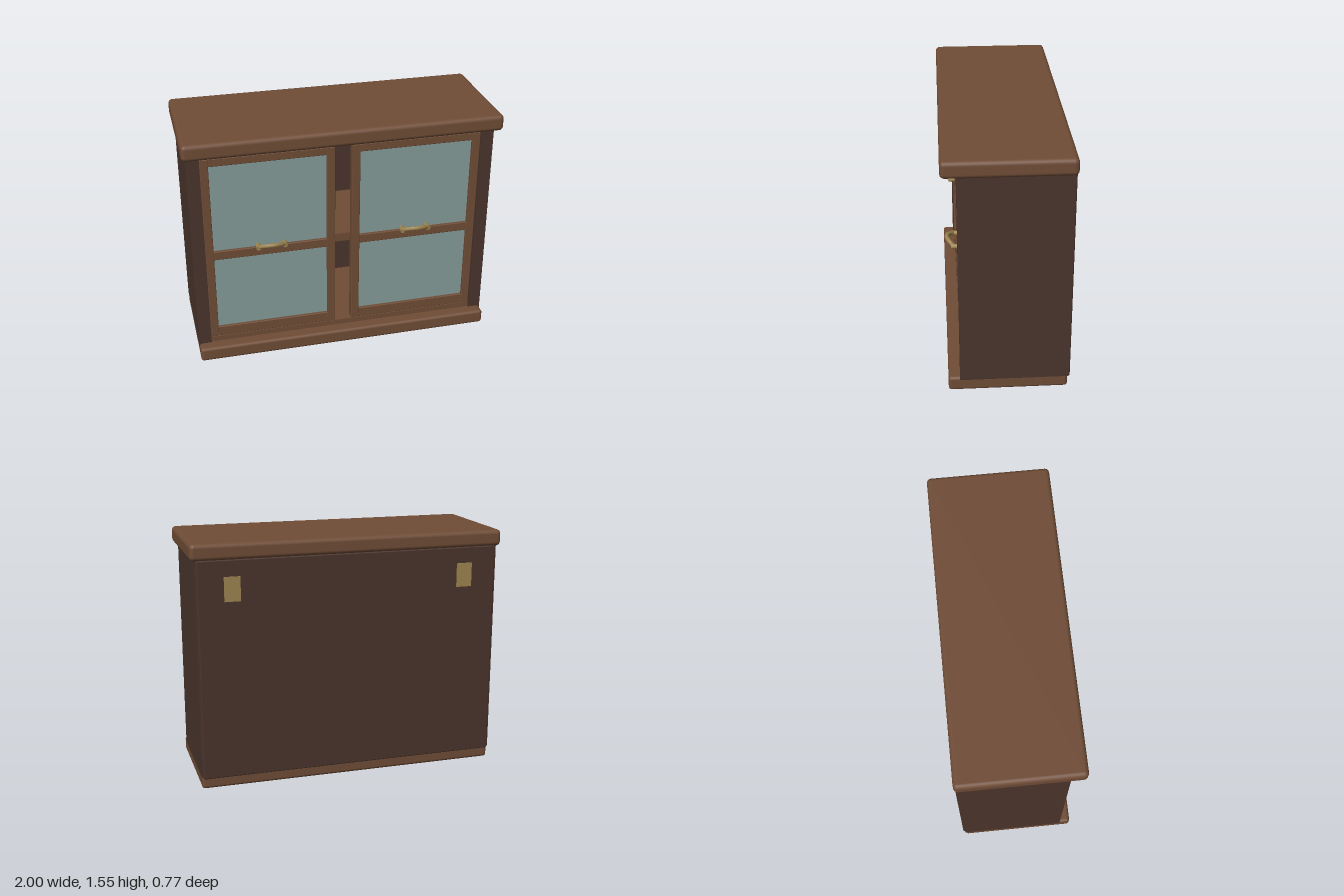
import * as THREE from 'three';
import { RoundedBoxGeometry } from 'three/addons/geometries/RoundedBoxGeometry.js';

const wood = new THREE.MeshStandardMaterial({ color: 0x6f4c36 });
const darkWood = new THREE.MeshStandardMaterial({ color: 0x4a342c });
const glass = new THREE.MeshStandardMaterial({ color: 0x859c99 });
const brass = new THREE.MeshStandardMaterial({ color: 0x9c8450 });

// Box given by its low and high corners; a radius rounds its edges
function slab(parent, name, material, [x0, x1], [y0, y1], [z0, z1], radius = 0) {
  const size = [x1 - x0, y1 - y0, z1 - z0];
  const geometry = radius
    ? new RoundedBoxGeometry(...size, 3, radius)
    : new THREE.BoxGeometry(...size);
  const mesh = new THREE.Mesh(geometry, material);
  mesh.name = name;
  mesh.position.set((x0 + x1) / 2, (y0 + y1) / 2, (z0 + z1) / 2);
  parent.add(mesh);
  return mesh;
}

// Bowed pull that rises away from the door, with a foot at each end
function createHandle() {
  const handle = new THREE.Group();
  handle.name = 'handle';
  const points = [
    [-0.085, 0.783, 0.312], [-0.045, 0.802, 0.342], [0, 0.808, 0.355],
    [0.045, 0.802, 0.342], [0.085, 0.783, 0.312],
  ].map((p) => new THREE.Vector3(...p));
  const bow = new THREE.Mesh(
    new THREE.TubeGeometry(new THREE.CatmullRomCurve3(points), 8, 0.014, 8), brass);
  bow.name = 'handleBow';
  handle.add(bow);
  for (const side of [-1, 1]) {
    const foot = new THREE.Mesh(new THREE.CylinderGeometry(0.016, 0.016, 0.05, 8), brass);
    foot.name = 'handleFoot';
    foot.rotation.x = Math.PI / 2;
    foot.position.set(side * 0.085, 0.783, 0.303);
    handle.add(foot);
  }
  return handle;
}

// Framed door centred on x = 0, with two glass panes
function createDoor() {
  const door = new THREE.Group();
  door.name = 'door';
  const z = [0.235, 0.288];
  for (const side of [-1, 1]) {
    const xs = [side * 0.365, side * 0.418].sort((a, b) => a - b);
    slab(door, 'doorStile', wood, xs, [0.132, 1.412], z, 0.005);
  }
  for (const y of [[0.132, 0.2], [0.708, 0.768], [1.36, 1.412]]) {
    slab(door, 'doorRail', wood, [-0.37, 0.37], y, [0.237, 0.286], 0.005);
  }
  for (const y of [[0.195, 0.712], [0.764, 1.365]]) {
    slab(door, 'glassPane', glass, [-0.37, 0.37], y, [0.255, 0.268]);
  }
  door.add(createHandle());
  return door;
}

export function createModel() {
  const cabinet = new THREE.Group();
  cabinet.name = 'cabinet';

  // Top and plinth
  slab(cabinet, 'top', wood, [-1, 1], [1.45, 1.555], [-0.385, 0.388], 0.028);
  slab(cabinet, 'base', wood, [-0.97, 0.97], [0, 0.095], [-0.363, 0.368], 0.02);

  // Carcass, open between the doors
  slab(cabinet, 'topPanel', wood, [-0.9, 0.9], [1.412, 1.46], [-0.36, 0.285]);
  slab(cabinet, 'bottomPanel', wood, [-0.9, 0.9], [0.08, 0.13], [-0.36, 0.288]);
  slab(cabinet, 'shelf', wood, [-0.9, 0.9], [0.71, 0.766], [-0.36, 0.236]);
  slab(cabinet, 'backPanel', darkWood, [-0.962, 0.962], [0.07, 1.455], [-0.378, -0.352], 0.008);

  // Mirrored sides, doors and wall plates
  for (const side of [-1, 1]) {
    const span = (a, b) => [side * a, side * b].sort((p, q) => p - q);
    slab(cabinet, 'sidePanel', darkWood, span(0.89, 0.972), [0.078, 1.455], [-0.365, 0.297]);
    slab(cabinet, 'wallPlate', brass, span(0.7, 0.8), [1.2, 1.352], [-0.386, -0.37]);
    const door = createDoor();
    door.position.x = side * 0.472;
    cabinet.add(door);
  }
  return cabinet;
}
